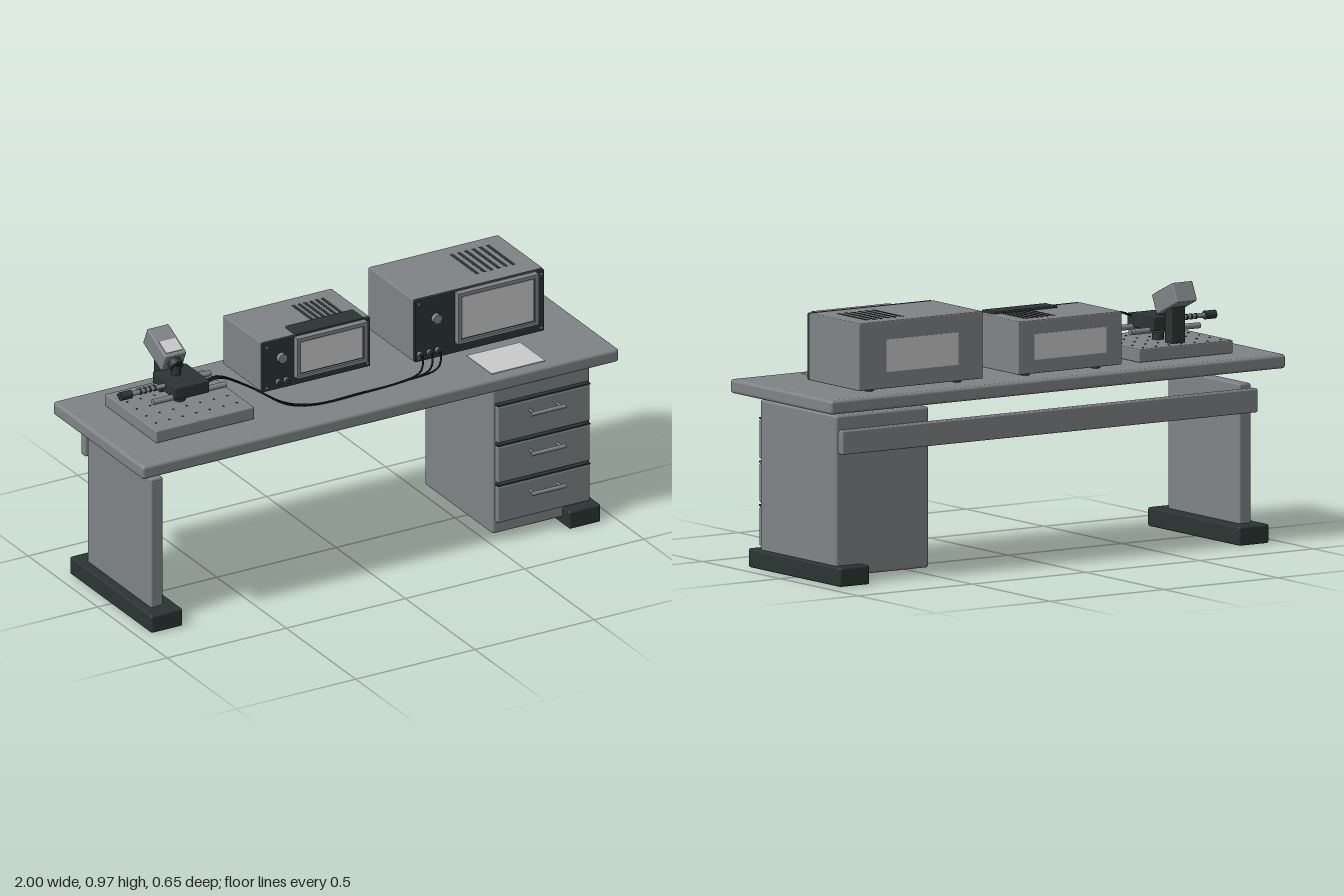
import * as THREE from 'three';
import { RoundedBoxGeometry } from 'three/addons/geometries/RoundedBoxGeometry.js';

const mat = (name, color) => {
  const m = new THREE.MeshStandardMaterial({ color });
  m.name = name;
  return m;
};

export function createModel() {
  const grey = mat('bodyGrey', 0x808487);
  const dark = mat('darkSlate', 0x2b3533);
  const light = mat('paleGrey', 0xcbcbcb);
  const black = mat('cableBlack', 0x15191a);

  const root = new THREE.Group();
  root.name = 'labWorkbench';
  const group = (name) => {
    const g = new THREE.Group();
    g.name = name;
    root.add(g);
    return g;
  };
  const add = (parent, name, geometry, material) => {
    const m = new THREE.Mesh(geometry, material);
    m.name = name;
    parent.add(m);
    return m;
  };
  // Box given by its limits on each axis, rounded when r > 0
  const box = (parent, name, material, [x0, x1], [y0, y1], [z0, z1], r = 0) => {
    const s = [x1 - x0, y1 - y0, z1 - z0];
    const g = r ? new RoundedBoxGeometry(...s, 2, r) : new THREE.BoxGeometry(...s);
    const m = add(parent, name, g, material);
    m.position.set((x0 + x1) / 2, (y0 + y1) / 2, (z0 + z1) / 2);
    return m;
  };
  // Cylinder centred on a point along the named axis
  const rod = (parent, name, material, axis, radius, length, x, y, z) => {
    const g = new THREE.CylinderGeometry(radius, radius, length, 20);
    if (axis === 'x') g.rotateZ(Math.PI / 2);
    if (axis === 'z') g.rotateX(Math.PI / 2);
    const m = add(parent, name, g, material);
    m.position.set(x, y, z);
    return m;
  };

  // Desk
  const desk = group('desk');
  box(desk, 'desktop', grey, [-1, 1], [0.64, 0.692], [-0.325, 0.325], 0.012);
  box(desk, 'sideLeg', grey, [-0.91, -0.86], [0.06, 0.582], [-0.23, 0.23], 0.006);
  box(desk, 'backBeam', grey, [-0.91, 0.915], [0.48, 0.568], [-0.275, -0.243], 0.006);
  box(desk, 'rightFoot', dark, [-0.946, -0.814], [0, 0.07], [-0.295, 0.295], 0.008);
  box(desk, 'leftFoot', dark, [0.808, 0.94], [0, 0.07], [-0.295, 0.295], 0.008);

  // Drawer cabinet
  const cabinet = group('drawerCabinet');
  box(cabinet, 'cabinetBody', grey, [0.514, 0.923], [0.03, 0.621], [-0.245, 0.245], 0.01);
  for (const y of [0.08, 0.24, 0.4]) {
    box(cabinet, 'drawerFront', grey, [0.525, 0.912], [y, y + 0.144], [0.24, 0.265], 0.005);
    box(cabinet, 'drawerGap', dark, [0.525, 0.912], [y + 0.146, y + 0.152], [0.242, 0.266]);
    rod(cabinet, 'handle', grey, 'x', 0.008, 0.145, 0.717, y + 0.102, 0.298);
    for (const x of [0.66, 0.774]) rod(cabinet, 'handlePost', grey, 'z', 0.005, 0.035, x, y + 0.102, 0.28);
  }

  // Drilled base plate and positioning stage
  const stage = group('opticalStage');
  box(stage, 'basePlate', grey, [-0.855, -0.443], [0.692, 0.74], [-0.195, 0.174], 0.004);
  for (let i = 0; i < 7; i++) for (let j = 0; j < 5; j++)
    rod(stage, 'plateHole', dark, 'y', 0.004, 0.002, -0.82 + i * 0.0567, 0.7405, -0.165 + j * 0.0685);
  for (const z of [-0.075, 0.035]) rod(stage, 'guideRail', grey, 'x', 0.011, 0.305, -0.637, 0.785, z);
  rod(stage, 'stagePedestal', dark, 'y', 0.022, 0.05, -0.645, 0.762, -0.02);
  box(stage, 'carriage', dark, [-0.708, -0.568], [0.784, 0.833], [-0.105, 0.065], 0.004);
  rod(stage, 'leadScrew', grey, 'x', 0.009, 0.16, -0.78, 0.81, -0.02);
  rod(stage, 'adjustmentKnob', dark, 'x', 0.016, 0.046, -0.872, 0.81, -0.02);
  for (let i = 0; i < 4; i++) rod(stage, 'screwCollar', dark, 'x', 0.0115, 0.006, -0.81 + i * 0.02, 0.81, -0.02);
  box(stage, 'column', dark, [-0.677, -0.617], [0.74, 0.89], [-0.15, -0.105], 0.004);

  // Tilted sensor head with lens
  const head = new THREE.Group();
  head.name = 'sensorHead';
  head.position.set(-0.645, 0.905, -0.126);
  head.rotation.x = 0.43;
  stage.add(head);
  box(head, 'headHousing', grey, [-0.045, 0.045], [-0.038, 0.038], [-0.073, 0.073], 0.005);
  box(head, 'headPanel', light, [-0.034, 0.034], [0.037, 0.041], [0, 0.058]);
  rod(head, 'lens', dark, 'z', 0.026, 0.03, 0, 0, 0.083);
  rod(head, 'lensCore', black, 'z', 0.015, 0.004, 0, 0, 0.098);
  rod(stage, 'lensPost', dark, 'y', 0.019, 0.045, -0.645, 0.848, -0.045);

  // Bench instrument: casing, dark face, framed screen, controls, vents
  const instrument = (name, o) => {
    const g = group(name);
    const [x0, x1] = o.x, [y0, y1] = [0.705, o.top], f = o.front;
    box(g, 'casing', grey, o.x, [y0, y1], [o.back, f - 0.015], 0.004);
    box(g, 'facePanel', dark, [x0 + 0.002, x1 - 0.002], [y0, y1 - 0.001], [f - 0.016, f], 0.003);
    // Screen frame with a rectangular opening
    const [a0, a1] = o.frameX, [b0, b1] = o.frameY, t = 0.014;
    const rect = (P, l, r, b, u) => new P([[l, b], [r, b], [r, u], [l, u]].map((p) => new THREE.Vector2(...p)));
    const shape = rect(THREE.Shape, a0, a1, b0, b1);
    shape.holes.push(rect(THREE.Path, a0 + t, a1 - t, b0 + t, b1 - t));
    const frame = new THREE.ExtrudeGeometry(shape, { depth: 0.025, bevelEnabled: false });
    add(g, 'screenFrame', frame, grey).position.z = f;
    box(g, 'screenSurround', dark, [a0 + t, a1 - t], [b0 + t, b1 - t], [f, f + 0.016]);
    box(g, 'screen', light, [a0 + 0.019, a1 - 0.019], [b0 + 0.019, b1 - 0.019], [f + 0.014, f + 0.018]);
    rod(g, 'controlKnob', grey, 'z', 0.018, 0.018, o.knob[0], o.knob[1], f + 0.009);
    for (const x of o.jacks) {
      rod(g, 'socket', grey, 'z', 0.011, 0.012, x, 0.735, f + 0.006);
      rod(g, 'plug', dark, 'z', 0.007, 0.022, x, 0.735, f + 0.011);
    }
    for (const x of [x0 + 0.016, x1 - 0.016]) for (const y of [y0 + 0.016, y1 - 0.016])
      rod(g, 'cornerScrew', grey, 'z', 0.005, 0.004, x, y, f + 0.001);
    for (let i = 0; i < 6; i++) {
      const x = o.ventX[0] + (o.ventX[1] - o.ventX[0]) * i / 5;
      box(g, 'ventSlot', dark, [x - 0.0065, x + 0.0065], [y1 - 0.002, y1 + 0.001], o.ventZ);
    }
    box(g, 'rearPanel', light, o.rearX, o.rearY, [o.back - 0.002, o.back + 0.002]);
    for (const x of o.feetX) for (const z of [o.back + 0.06, f - 0.075])
      rod(g, 'rubberFoot', dark, 'y', 0.016, 0.016, x, 0.699, z);
    return g;
  };
  const small = instrument('smallInstrument', {
    x: [-0.32, 0.135], top: 0.9, front: 0.02, back: -0.264,
    frameX: [-0.187, 0.108], frameY: [0.738, 0.898], knob: [-0.243, 0.83], jacks: [-0.255, -0.222],
    ventX: [-0.058, 0.063], ventZ: [-0.21, -0.05], rearX: [-0.25, 0.065], rearY: [0.755, 0.85],
    feetX: [-0.245, 0.065],
  });
  box(small, 'topCover', dark, [-0.178, 0.105], [0.896, 0.908], [-0.06, 0.017], 0.004);
  instrument('largeInstrument', {
    x: [0.285, 0.83], top: 0.952, front: 0.078, back: -0.257,
    frameX: [0.453, 0.792], frameY: [0.747, 0.95], knob: [0.373, 0.865], jacks: [0.305, 0.345, 0.38],
    ventX: [0.6, 0.752], ventZ: [-0.2, -0.01], rearX: [0.395, 0.71], rearY: [0.765, 0.885],
    feetX: [0.36, 0.745],
  });

  // Cables from the carriage to the large instrument
  const cables = group('cables');
  [0.305, 0.345, 0.38].forEach((x, i) => {
    const d = i * 0.009;
    const path = new THREE.CatmullRomCurve3([
      [-0.57, 0.825, 0.04 + d], [-0.53, 0.838, 0.058 + d], [-0.42, 0.785, 0.09 + d * 0.6], [-0.31, 0.72, 0.155 + d],
      [-0.2, 0.698, 0.183 + d * 0.3], [0, 0.697, 0.184 + d * 0.3], [0.16 + d, 0.698, 0.18],
      [x - 0.05, 0.708, 0.165], [x - 0.012, 0.732, 0.125], [x, 0.735, 0.09],
    ].map((p) => new THREE.Vector3(...p)));
    add(cables, 'cable', new THREE.TubeGeometry(path, 70, 0.0035, 6), black);
  });

  // Paper sheet
  box(root, 'paperSheet', light, [0.49, 0.714], [0.691, 0.695], [0.1, 0.28]);
  return root;
}
